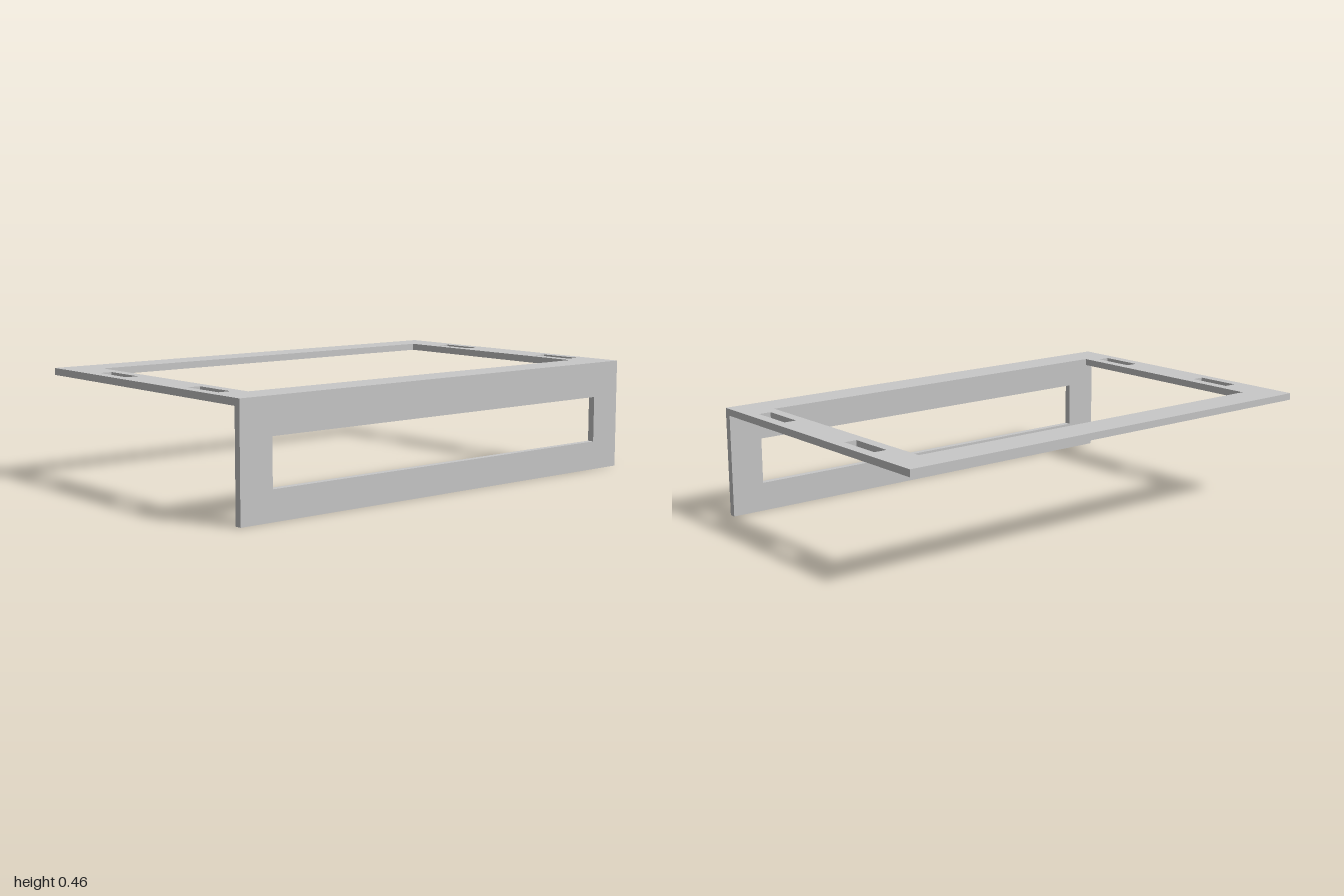
import * as THREE from 'three';

const T = 0.0286; // sheet thickness

// Closed rectangular outline, added to a Shape or Path
function rect(path, x0, y0, x1, y1) {
  path.moveTo(x0, y0);
  path.lineTo(x1, y0);
  path.lineTo(x1, y1);
  path.lineTo(x0, y1);
  path.closePath();
  return path;
}

// Flat plate with rectangular cutouts, extruded along +z
function plate(name, outline, cutouts, material) {
  const shape = rect(new THREE.Shape(), ...outline);
  for (const c of cutouts) shape.holes.push(rect(new THREE.Path(), ...c));
  const geometry = new THREE.ExtrudeGeometry(shape, { depth: T, bevelEnabled: false });
  const mesh = new THREE.Mesh(geometry, material);
  mesh.name = name;
  return mesh;
}

export function createModel() {
  const model = new THREE.Group();
  model.name = 'angleBracketFrame';
  const metal = new THREE.MeshStandardMaterial({ color: 0xc8c8c8 });
  metal.name = 'light grey metal';

  const H = 0.457, D = 0.641;

  // Horizontal frame: large opening plus two mounting slots per side (shape y = -z)
  const cutouts = [[-0.857, -0.498, 0.857, 0.498]];
  for (const [z0, z1] of [[-0.361, -0.166], [0.259, 0.452]]) {
    cutouts.push([-0.955, -z1, -0.902, -z0], [0.902, -z1, 0.955, -z0]);
  }
  const top = plate('topFrame', [-1, -D, 1, D], cutouts, metal);
  top.rotation.x = -Math.PI / 2;
  top.position.y = H - T;
  model.add(top);

  // Vertical front flange with a long window
  const front = plate('frontFlange', [-1, 0, 1, H - T], [[-0.857, 0.12, 0.857, 0.311]], metal);
  front.position.z = D - T;
  model.add(front);

  return model;
}
